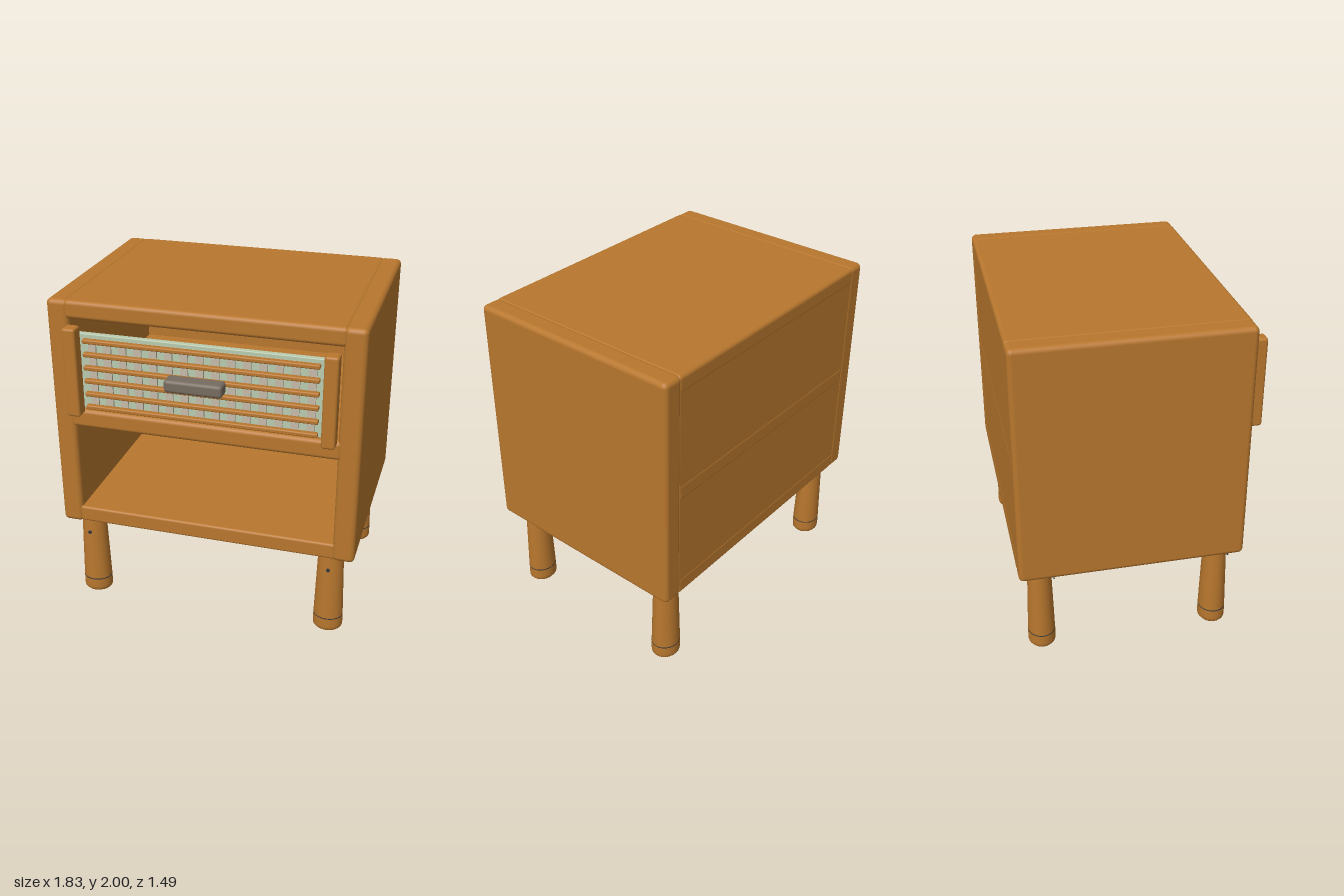
import * as THREE from 'three';
import { RoundedBoxGeometry } from 'three/addons/geometries/RoundedBoxGeometry.js';

const material = (name, color) => {
  const m = new THREE.MeshStandardMaterial({ color });
  m.name = name;
  return m;
};

export function createModel() {
  const wood = material('warm wood', 0xb8772e);
  const mint = material('pale green backing', 0xb9cbb0);
  const cane = material('beige cane', 0xc6bbaa);
  const metal = material('grey handle', 0x766b60);
  const dark = material('dark trim', 0x363a3e);

  const model = new THREE.Group();
  model.name = 'nightstand';

  const add = (parent, name, geometry, mat, x = 0, y = 0, z = 0) => {
    const mesh = new THREE.Mesh(geometry, mat);
    mesh.name = name;
    mesh.position.set(x, y, z);
    parent.add(mesh);
    return mesh;
  };
  // Rounded box given by its lower and upper limits on each axis
  const block = (parent, name, mat, [x0, x1], [y0, y1], [z0, z1], r = 0.02) =>
    add(parent, name, new RoundedBoxGeometry(x1 - x0, y1 - y0, z1 - z0, 3, r), mat,
      (x0 + x1) / 2, (y0 + y1) / 2, (z0 + z1) / 2);
  const group = (name) => {
    const g = new THREE.Group();
    g.name = name;
    model.add(g);
    return g;
  };

  // Cabinet carcass, open at the front
  const cabinet = group('cabinet');
  block(cabinet, 'leftSide', wood, [0.785, 0.915], [0.55, 2], [-0.74, 0.59], 0.03);
  block(cabinet, 'rightSide', wood, [-0.915, -0.785], [0.55, 2], [-0.74, 0.59], 0.03);
  block(cabinet, 'top', wood, [-0.81, 0.81], [1.89, 2], [-0.74, 0.59], 0.025);
  block(cabinet, 'shelf', wood, [-0.81, 0.81], [1.215, 1.33], [-0.74, 0.59], 0.025);
  block(cabinet, 'bottom', wood, [-0.8, 0.8], [0.56, 0.66], [-0.74, 0.585], 0.015);
  block(cabinet, 'back', wood, [-0.81, 0.81], [0.56, 1.99], [-0.738, -0.68], 0.015);

  // Drawer front: backing panel, end posts, cane weave, slats and handle
  const drawer = group('drawer');
  block(drawer, 'backingPanel', mint, [-0.75, 0.75], [1.355, 1.82], [0.57, 0.605], 0.005);
  for (const s of [-1, 1]) {
    block(drawer, 'endPost', wood, [s * 0.745 - 0.04, s * 0.745 + 0.04], [1.33, 1.87], [0.605, 0.69], 0.015);
  }
  const strips = 15;
  const pitch = 1.36 / strips;
  for (let i = 0; i < strips; i++) {
    add(drawer, 'caneStrip', new THREE.BoxGeometry(0.045, 0.42, 0.012), cane,
      -0.68 + (i + 0.5) * pitch, 1.587, 0.614);
  }
  for (let i = 0; i < 6; i++) {
    const y = 1.385 + i * 0.081;
    block(drawer, 'slat', wood, [-0.68, 0.68], [y - 0.013, y + 0.013], [0.62, 0.655], 0.008);
  }
  block(drawer, 'handle', metal, [-0.17, 0.165], [1.58, 1.655], [0.65, 0.748], 0.02);

  // Flared legs, slightly narrower in depth, with a dark ring and a peg
  const legs = group('legs');
  const legProfile = [[0, 0], [0.08, 0], [0.09, 0.012], [0.092, 0.03], [0.091, 0.09], [0.077, 0.54], [0.07, 0.57], [0, 0.57]]
    .map(([r, y]) => new THREE.Vector2(r, y));
  for (const x of [-0.767, 0.76]) {
    for (const z of [0.458, -0.607]) {
      const leg = new THREE.Group();
      leg.name = 'leg';
      leg.position.set(x, 0, z);
      legs.add(leg);
      add(leg, 'legPost', new THREE.LatheGeometry(legProfile, 24), wood).scale.z = 0.9;
      add(leg, 'legRing', new THREE.CylinderGeometry(0.0915, 0.0915, 0.007, 24, 1, true), dark, 0, 0.09, 0).scale.z = 0.9;
      const peg = add(leg, 'peg', new THREE.CylinderGeometry(0.012, 0.012, 0.006, 12), dark, 0, 0.45, 0.086);
      peg.rotation.x = Math.PI / 2;
    }
  }
  return model;
}
